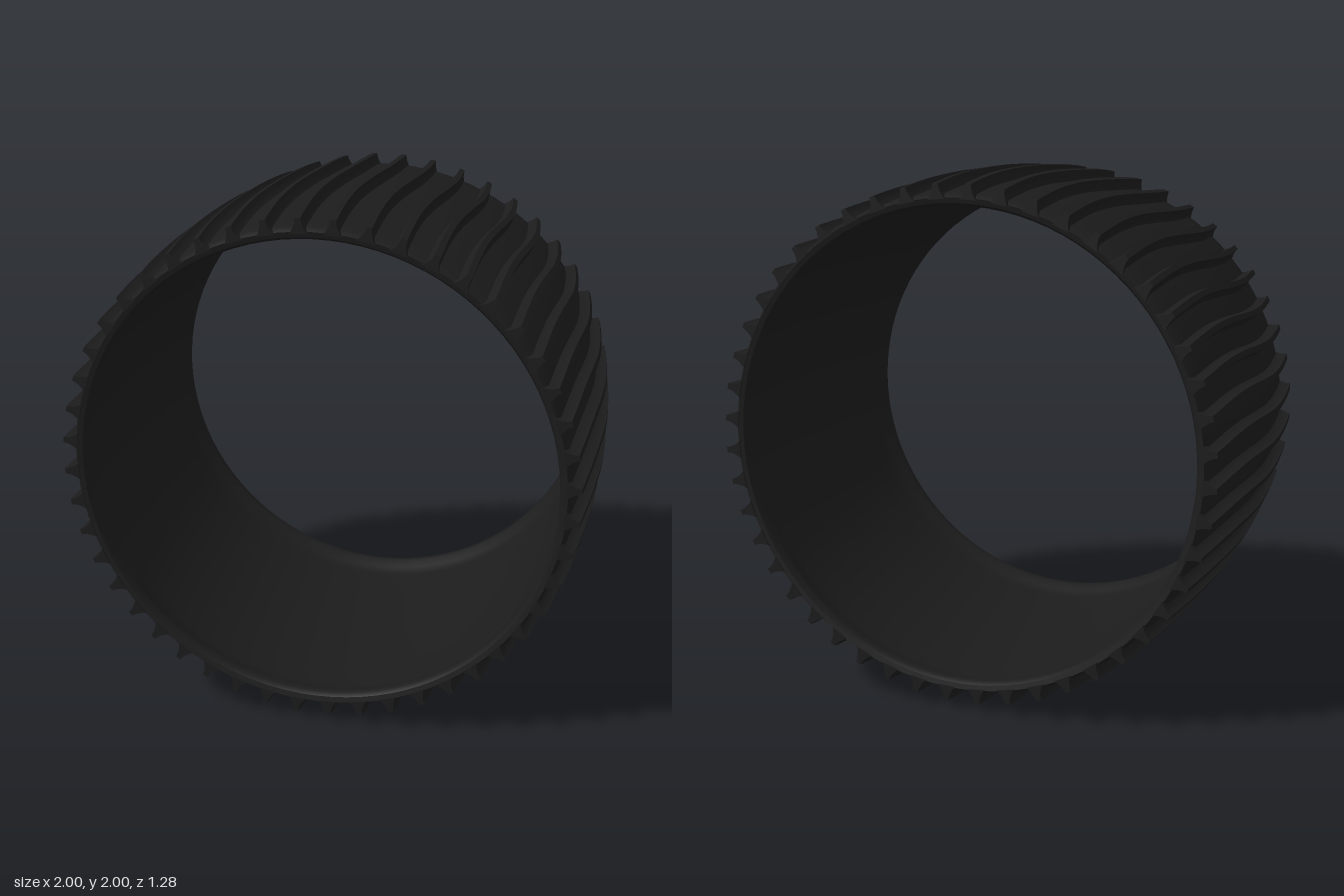
import * as THREE from 'three';
import { mergeGeometries, toCreasedNormals } from 'three/addons/utils/BufferGeometryUtils.js';

const HALF = 0.64;      // half of the tread width
const RIBS = 48;
const PHASE = THREE.MathUtils.degToRad(3);

// crowned outer radius at the rib tips, and the sideways wave of each rib
const crown = z => 1 - 0.035 * (z / HALF) ** 2;
const wave = z => 0.014 * Math.sin(z * Math.PI / 0.6);

// closed carcass profile: crowned outside, chamfered rims, hollow inside
function createBand() {
  const points = [];
  for (let i = 0; i <= 16; i++) {
    const z = -0.61 + 1.22 * i / 16;
    points.push(new THREE.Vector2(crown(z) - 0.04, z));
  }
  points.push(
    new THREE.Vector2(0.915, 0.633),
    new THREE.Vector2(0.895, 0.628),
    new THREE.Vector2(0.885, 0.61),
    new THREE.Vector2(0.887, 0.58),
    new THREE.Vector2(0.905, 0.555)
  );
  for (let i = 0; i <= 10; i++) {
    const z = 0.5 - i / 10;
    points.push(new THREE.Vector2(0.935 - 0.02 * (z / 0.5) ** 2, z));
  }
  points.push(
    new THREE.Vector2(0.905, -0.555),
    new THREE.Vector2(0.887, -0.58),
    new THREE.Vector2(0.885, -0.61),
    new THREE.Vector2(0.895, -0.628),
    new THREE.Vector2(0.915, -0.633),
    points[0].clone()
  );
  const geometry = new THREE.LatheGeometry(points, 96);
  geometry.rotateX(Math.PI / 2);
  return toCreasedNormals(geometry, 0.6);
}

// one wavy rib: a box bent along the crown, with flanks that flare at the root
function createRib() {
  const geometry = new THREE.BoxGeometry(1, 1, 2 * HALF, 1, 4, 24);
  const p = geometry.attributes.position;
  for (let i = 0; i < p.count; i++) {
    const z = p.getZ(i);
    const h = p.getY(i) + 0.5;
    const width = 0.022 + 0.05 * (1 - h) ** 2;
    const radius = crown(z) - 0.055 * (1 - h);
    // local y is radial (up), so a positive turn moves towards -x
    const angle = wave(z) - p.getX(i) * width;
    p.setXY(i, -Math.sin(angle) * radius, Math.cos(angle) * radius);
  }
  geometry.computeVertexNormals();
  return geometry;
}

export function createModel() {
  const rubber = new THREE.MeshStandardMaterial({ color: 0x1c1c1c });
  rubber.name = 'black rubber';

  const model = new THREE.Group();
  model.name = 'ribbedTyre';

  const band = new THREE.Mesh(createBand(), rubber);
  band.name = 'tyreBand';

  // ribs repeated around the band
  const rib = createRib();
  const ribs = [];
  for (let i = 0; i < RIBS; i++) {
    ribs.push(rib.clone().rotateZ(PHASE + i * 2 * Math.PI / RIBS));
  }
  const tread = new THREE.Mesh(mergeGeometries(ribs), rubber);
  tread.name = 'treadRibs';

  model.add(band, tread);
  model.children.forEach(part => { part.position.y = 1; });
  return model;
}
